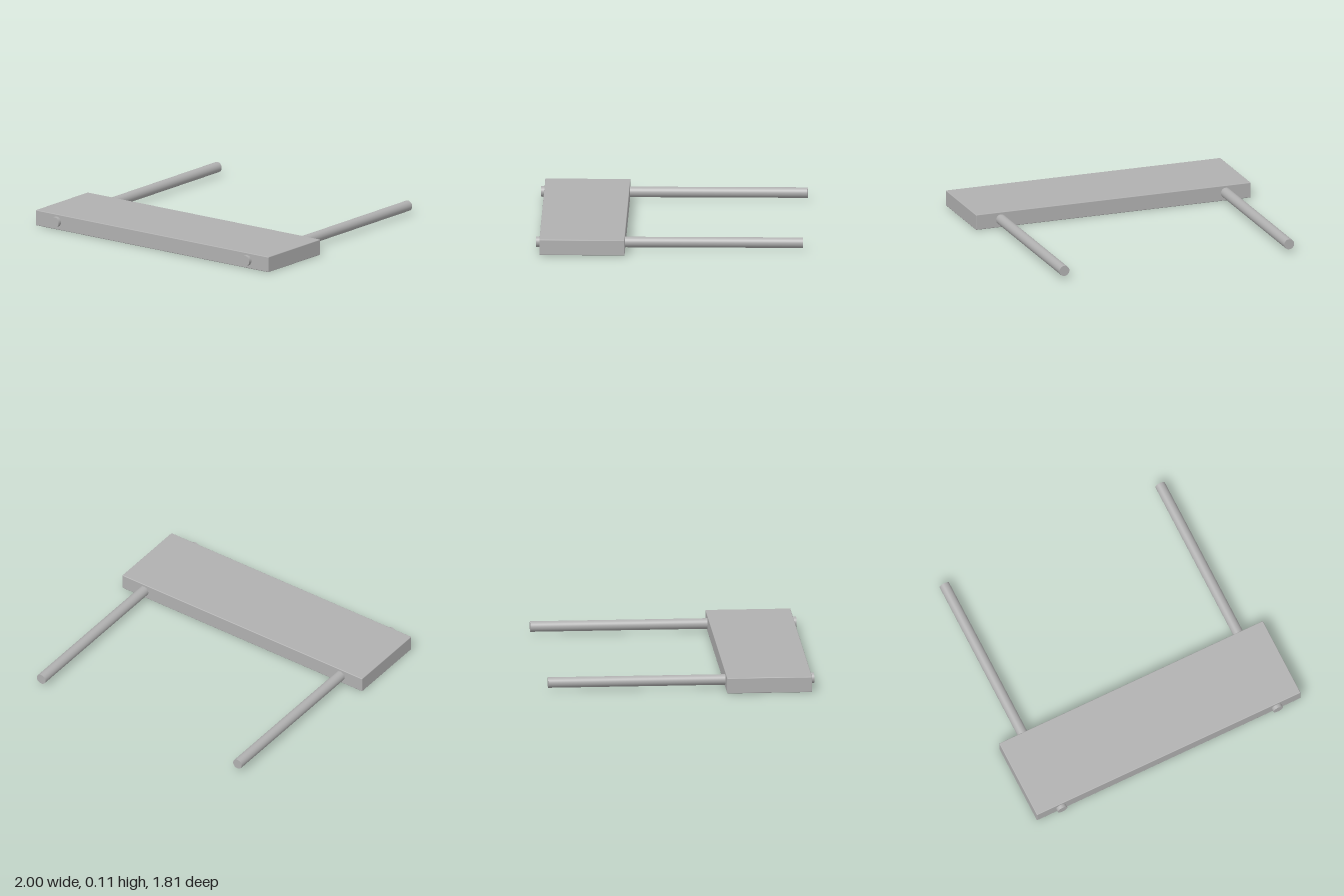
import * as THREE from 'three';
import { RoundedBoxGeometry } from 'three/addons/geometries/RoundedBoxGeometry.js';

export function createModel() {
  const group = new THREE.Group();
  const grey = new THREE.MeshStandardMaterial({ color: 0xb0b0b0 });
  grey.name = 'grey';

  // Flat board with finely eased edges
  const height = 0.108;
  const board = new THREE.Mesh(new RoundedBoxGeometry(2, height, 0.58, 2, 0.005), grey);
  board.name = 'shelfBoard';
  board.position.set(0, height / 2, 0.592);
  group.add(board);

  // Two rods passing through the board from front to back
  const rodGeometry = new THREE.CylinderGeometry(0.036, 0.036, 1.814, 48);
  rodGeometry.rotateX(Math.PI / 2);
  for (const [name, side] of [['leftRod', 1], ['rightRod', -1]]) {
    const rod = new THREE.Mesh(rodGeometry, grey);
    rod.name = name;
    rod.position.set(side * 0.818, 0.056, 0);
    group.add(rod);
  }

  return group;
}
